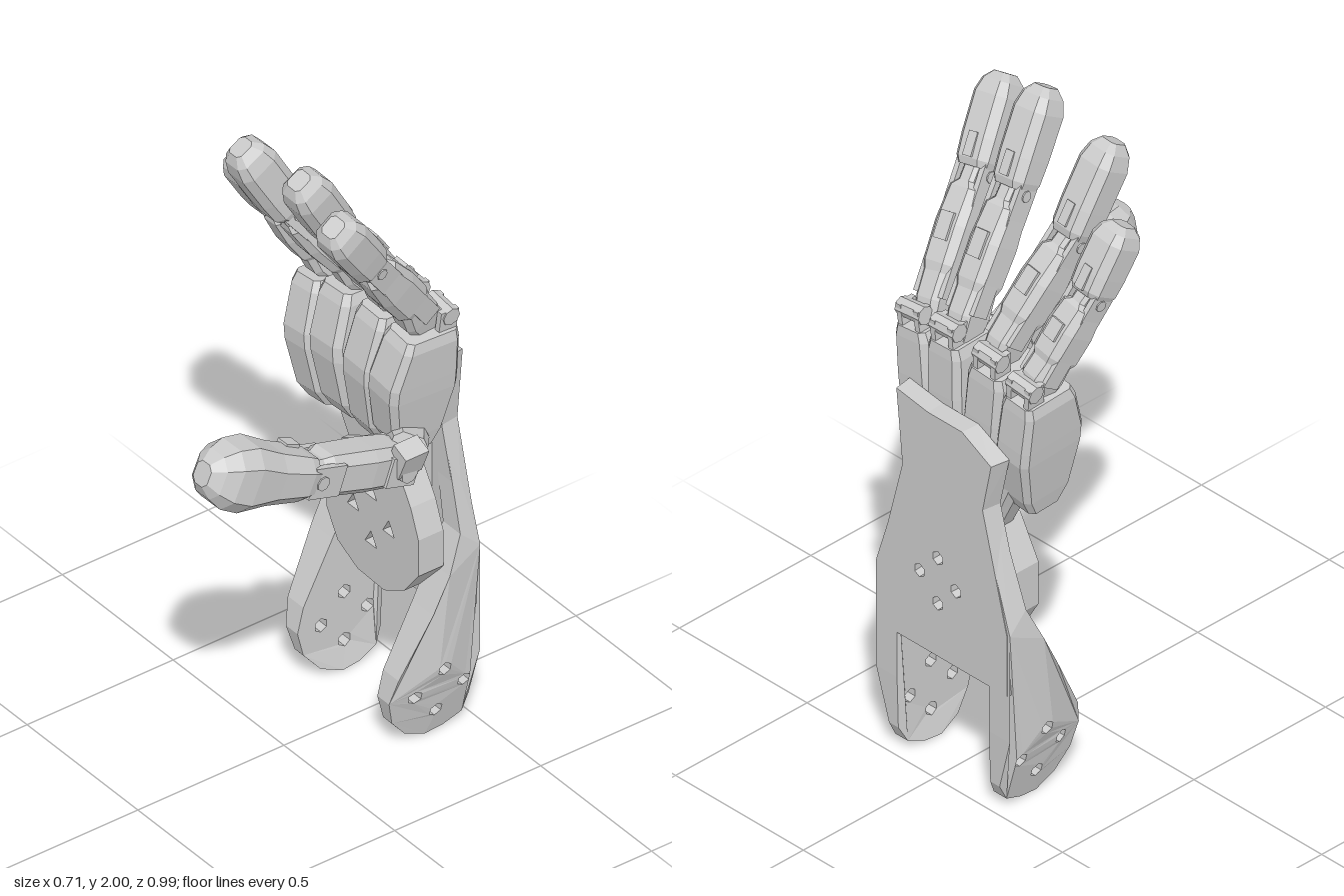
import * as THREE from 'three';

const V = (x, y, z) => new THREE.Vector3(x, y, z);
const { clamp, lerp } = THREE.MathUtils;
const grey = new THREE.MeshStandardMaterial({ color: 0xcccccc, flatShading: true });
const AXIS = -0.022; // centre line of the forearm

function mesh(name, geometry, parent) {
  const m = new THREE.Mesh(geometry, grey);
  m.name = name;
  parent.add(m);
  return m;
}

function box(name, parent, w, h, d, x, y, z) {
  const m = mesh(name, new THREE.BoxGeometry(w, h, d), parent);
  m.position.set(x, y, z);
  return m;
}

// Hinge pin lying across a part
function pin(name, parent, r, length, x, y, z) {
  const m = mesh(name, new THREE.CylinderGeometry(r, r, length, 8), parent);
  m.rotation.z = Math.PI / 2;
  m.position.set(x, y, z);
}

// Loft along y through chamfered rectangles: [y, half width, half depth, z offset]
function loft(sections, chamfer = 0.4) {
  const rings = sections.map(([y, w, d, o = 0]) => {
    const c = chamfer * Math.min(w, d);
    return [[w - c, d], [w, d - c], [w, c - d], [w - c, -d], [c - w, -d], [-w, c - d], [-w, d - c], [c - w, d]]
      .map(([x, z]) => V(x, y, z + o));
  });
  const pts = [];
  for (let i = 0; i + 1 < rings.length; i++) {
    for (let j = 0; j < 8; j++) {
      const k = (j + 1) % 8, a = rings[i], b = rings[i + 1];
      pts.push(a[j], a[k], b[k], a[j], b[k], b[j]);
    }
  }
  const bottom = rings[0], top = rings[rings.length - 1];
  for (let j = 1; j < 7; j++) {
    pts.push(bottom[0], bottom[j + 1], bottom[j], top[0], top[j], top[j + 1]);
  }
  const g = new THREE.BufferGeometry().setFromPoints(pts);
  g.computeVertexNormals();
  return g;
}

// Lofted link from a to b in its own group: local y runs along it, local +z is the palm side
function link(name, parent, a, b, sections, chamfer) {
  const group = new THREE.Group();
  group.name = name;
  const d = b.clone().sub(a), len = d.length();
  d.normalize();
  const u = V(1, 0, 0).addScaledVector(d, -d.x).normalize();
  group.quaternion.setFromRotationMatrix(new THREE.Matrix4().makeBasis(u, d, u.clone().cross(d)));
  group.position.copy(a);
  mesh(name + 'Body', loft(sections.map(([t, ...s]) => [t * len, ...s]), chamfer), group);
  parent.add(group);
  return { group, len };
}

// Flat shape with four screw holes in a diamond
function drilledShape(points, cx, cy, offset, r, sides) {
  const shape = new THREE.Shape(points.map(([x, y]) => new THREE.Vector2(x, y)));
  for (let i = 0; i < 4; i++) {
    const a = i * Math.PI / 2, hole = [];
    for (let j = 0; j < sides; j++) {
      const t = Math.PI / 2 + j * 2 * Math.PI / sides;
      hole.push(new THREE.Vector2(cx + offset * Math.cos(a) + r * Math.cos(t), cy + offset * Math.sin(a) + r * Math.sin(t)));
    }
    shape.holes.push(new THREE.Path(hole));
  }
  return shape;
}

function remap(geometry, rule) {
  const p = geometry.attributes.position;
  for (let i = 0; i < p.count; i++) p.setXYZ(i, ...rule(p.getX(i), p.getY(i), p.getZ(i)));
  geometry.computeVertexNormals();
  return geometry;
}

// Half width of the forearm shell at height y
function halfWidth(y) {
  if (y < 0.25) return lerp(0.21, 0.277, y / 0.25);
  return lerp(0.277, 0.16, clamp((y - 0.6) / 0.37, 0, 1));
}

function buildForearm(root) {
  const arm = new THREE.Group();
  arm.name = 'forearm';
  arm.position.x = AXIS;
  root.add(arm);

  // Back plate, its rear face slightly narrower
  const outline = [[-0.2, 0.4], [-0.265, 0.4], [-0.265, 0.6], [-0.165, 0.97], [-0.2, 1.13], [-0.08, 1.19],
    [0.06, 1.19], [0.19, 1.21], [0.165, 0.97], [0.265, 0.6], [0.265, 0.4], [0.2, 0.4]];
  const plate = new THREE.ExtrudeGeometry(drilledShape(outline, 0.02, 0.65, 0.075, 0.022, 6), { depth: 0.06, bevelEnabled: false });
  mesh('backPlate', remap(plate, (x, y, z) => [z < 0.01 ? x * 0.95 : x, y, z - 0.492]), arm);

  // Side cheeks ending in drilled round lobes, thinning towards the front
  const side = [[0.49, 0.97], [0.49, 0.6], [0.49, 0.25], [0.485, 0.08], [0.46, 0.03], [0.4, 0.006], [0.34, 0], [0.27, 0.03],
    [0.22, 0.09], [0.2, 0.17], [0.22, 0.25], [0.32, 0.44], [0.375, 0.55], [0.425, 0.66], [0.44, 0.97]];
  const cheek = new THREE.ExtrudeGeometry(drilledShape(side, 0.36, 0.165, 0.08, 0.022, 6), { depth: 1, bevelEnabled: false });
  remap(cheek, (x, y, t) => {
    const inner = Math.min(0.18, halfWidth(y) - 0.05);
    const w = halfWidth(y) - (x > 0.48 ? 0.015 : 0);
    const outer = lerp(w, lerp(inner, w, 0.7), clamp((0.33 - x) / 0.12, 0, 1));
    return [lerp(inner, outer, t), y, -x];
  });
  for (const s of [1, -1]) mesh(s > 0 ? 'leftCheek' : 'rightCheek', cheek, arm).scale.x = s;

  box('lowerCrossBar', arm, 0.36, 0.035, 0.05, 0, 0.415, -0.42);

  // Wrist cover with triangular holes
  const disc = [[-0.19, 0.71], [-0.19, 0.57], [-0.14, 0.485], [-0.05, 0.44], [0.07, 0.435], [0.16, 0.485], [0.225, 0.57],
    [0.225, 0.69], [0.19, 0.78], [0.14, 0.86], [0.05, 0.86], [-0.04, 0.885], [-0.12, 0.84]];
  const cover = new THREE.ExtrudeGeometry(drilledShape(disc, 0.01, 0.65, 0.08, 0.03, 3), { depth: 0.085, bevelEnabled: false });
  mesh('wristCover', cover, root).position.z = -0.375;
  box('wristCore', root, 0.2, 0.5, 0.07, 0, 0.7, -0.405);
  mesh('wristNeck', loft([[0.82, 0.1, 0.04], [0.92, 0.15, 0.045], [1, 0.19, 0.05]]), root).position.set(-0.02, 0, -0.35);
}

function buildFinger(root, f) {
  const finger = new THREE.Group();
  finger.name = f.name;
  root.add(finger);

  // Palm segment
  const w = f.w;
  const palm = link('palmSegment', finger, f.base, f.top,
    [[0, w - 0.01, 0.055], [0.13, w - 0.006, 0.085, 0.005], [0.5, w, 0.115, 0.008], [0.62, w, 0.115, 0.01],
      [0.92, w - 0.002, 0.095], [1, w - 0.012, 0.085, -0.005]], 0.28);
  for (const s of [-1, 1]) box('knuckleLug', palm.group, 0.018, 0.1, 0.06, s * 0.034, palm.len + 0.015, -0.055);
  pin('knucklePin', palm.group, 0.028, 0.095, 0, palm.len + 0.045, -0.06);

  // Knuckle, then proximal link with a clevis at its end
  link('knuckle', finger, f.knuckle, f.mid, [[-0.3, 0.036, 0.045], [0.4, 0.042, 0.058], [1.2, 0.045, 0.05]]);
  const prox = link('proximalLink', finger, f.mid, f.joint,
    [[-0.05, 0.038, 0.045], [0.1, 0.052, 0.06], [0.45, 0.054, 0.062], [0.78, 0.05, 0.052], [0.84, 0.026, 0.042], [1.05, 0.026, 0.036]]);
  const n = prox.len;
  box('backRidge', prox.group, 0.045, n * 0.25, 0.016, 0, n * 0.42, -0.062);
  for (const s of [-1, 1]) {
    box('hingeCheek', prox.group, 0.016, n * 0.38, 0.075, s * 0.043, n * 0.83, 0);
    box('knuckleCheek', prox.group, 0.016, 0.11, 0.06, s * 0.044, -0.005, -0.01);
  }
  pin('hingePin', prox.group, 0.017, 0.11, 0, n * 0.93, 0);

  // Fingertip
  const tip = link('fingertip', finger, f.joint, f.tip,
    [[-0.03, 0.05, 0.046], [0.05, 0.057, 0.058], [0.3, 0.059, 0.062], [0.78, 0.059, 0.063], [0.94, 0.048, 0.052], [1.04, 0.027, 0.03]]);
  box('tipRidge', tip.group, 0.03, 0.07, 0.012, 0, tip.len * 0.2, -0.06);
}

function buildThumb(root) {
  const thumb = new THREE.Group();
  thumb.name = 'thumb';
  root.add(thumb);

  // Mount on the palm
  link('thumbMount', thumb, V(0.1, 0.975, -0.33), V(0.26, 1.03, -0.22),
    [[0, 0.06, 0.05], [0.5, 0.06, 0.06], [1, 0.05, 0.06]]);
  box('mountBlock', thumb, 0.12, 0.055, 0.09, 0.1, 0.895, -0.29);

  const base = V(0.225, 1.005, -0.19), joint = V(0.257, 1.12, 0.13);
  const prox = link('thumbLink', thumb, base, joint,
    [[-0.05, 0.05, 0.055], [0.05, 0.06, 0.064], [0.35, 0.066, 0.066], [0.82, 0.062, 0.064], [0.9, 0.045, 0.052], [1.1, 0.045, 0.05]]);
  pin('thumbBasePin', prox.group, 0.03, 0.15, 0.01, 0, 0);
  pin('thumbHingePin', prox.group, 0.022, 0.145, 0, prox.len * 0.96, 0);
  for (const s of [-1, 1]) {
    box('thumbBaseLug', prox.group, 0.022, 0.11, 0.09, s * 0.06, 0.01, 0);
    box('thumbHingeCheek', prox.group, 0.02, 0.12, 0.095, s * 0.058, prox.len * 0.9, 0);
  }
  // Outer lug beside the thumb base
  box('outerLug', thumb, 0.06, 0.09, 0.08, 0.295, 1.05, -0.2).rotation.z = -0.4;

  const tip = link('thumbTip', thumb, joint, V(0.27, 1.27, 0.465),
    [[0, 0.068, 0.062], [0.08, 0.076, 0.068], [0.4, 0.081, 0.08], [0.68, 0.088, 0.1], [0.86, 0.082, 0.09], [0.98, 0.06, 0.065], [1.06, 0.03, 0.034]], 0.5);
  box('thumbTipRidge', tip.group, 0.04, 0.05, 0.02, -0.035, tip.len * 0.16, -0.07);
}

export function createModel() {
  const root = new THREE.Group();
  root.name = 'roboticHand';
  buildForearm(root);

  // Core joining the palm segments
  mesh('palmCore', loft([[0.96, 0.17, 0.04], [1.02, 0.19, 0.05], [1.25, 0.21, 0.05]]), root).position.set(-0.03, 0, -0.33);

  const fingers = [
    { name: 'littleFinger', w: 0.063, base: V(-0.195, 0.935, -0.315), top: V(-0.24, 1.325, -0.335),
      knuckle: V(-0.235, 1.34, -0.34), mid: V(-0.25, 1.41, -0.3), joint: V(-0.285, 1.6, -0.18), tip: V(-0.303, 1.775, -0.08) },
    { name: 'ringFinger', w: 0.071, base: V(-0.082, 0.96, -0.315), top: V(-0.11, 1.36, -0.335),
      knuckle: V(-0.095, 1.38, -0.34), mid: V(-0.105, 1.46, -0.29), joint: V(-0.14, 1.69, -0.11), tip: V(-0.155, 1.925, 0.025) },
    { name: 'middleFinger', w: 0.066, base: V(0.04, 0.96, -0.315), top: V(0.054, 1.375, -0.335),
      knuckle: V(0.048, 1.39, -0.34), mid: V(0.057, 1.48, -0.29), joint: V(0.087, 1.74, -0.11), tip: V(0.113, 1.97, 0.03) },
    { name: 'indexFinger', w: 0.066, base: V(0.14, 0.98, -0.315), top: V(0.183, 1.365, -0.335),
      knuckle: V(0.168, 1.38, -0.34), mid: V(0.185, 1.47, -0.29), joint: V(0.24, 1.72, -0.1), tip: V(0.287, 1.92, 0.045) },
  ];
  fingers.forEach((f) => buildFinger(root, f));
  buildThumb(root);
  return root;
}
